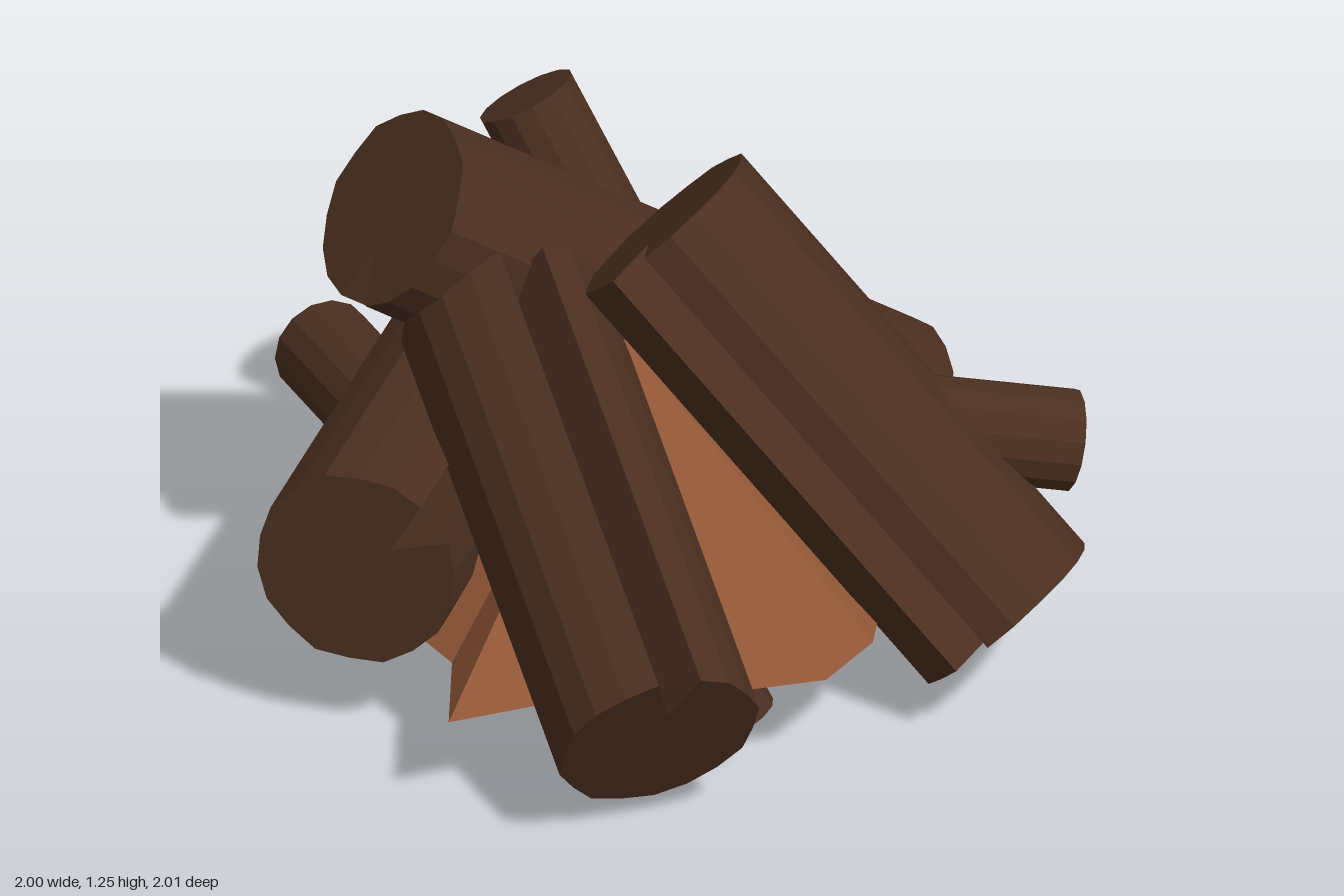
import * as THREE from 'three';

const bark = new THREE.MeshStandardMaterial({ color: 0x4b2f20, flatShading: true });
const ember = new THREE.MeshStandardMaterial({ color: 0x8f5635, flatShading: true });
const V = (a) => new THREE.Vector3(...a);

// Straight cylinder between two points
function stub(from, to, radius) {
  const a = V(from), b = V(to), dir = b.clone().sub(a);
  const mesh = new THREE.Mesh(new THREE.CylinderGeometry(radius, radius, dir.length(), 14), bark);
  mesh.position.copy(a).add(b).multiplyScalar(0.5);
  mesh.quaternion.setFromUnitVectors(new THREE.Vector3(0, 1, 0), dir.normalize());
  mesh.name = 'branchStub';
  return mesh;
}

// Log with a V groove along its whole length, facing the groove direction
function log(from, to, groove, radius, seed) {
  const a = V(from), dir = V(to).sub(a), length = dir.length();
  const z = dir.normalize();
  const x = new THREE.Vector3().crossVectors(V(groove), z).normalize();
  const y = new THREE.Vector3().crossVectors(z, x);
  const sides = 17, half = 0.22;
  const pts = [new THREE.Vector2(0, radius * 0.42)];
  for (let i = 0; i <= sides; i++) {
    const t = half + (i / sides) * (Math.PI * 2 - 2 * half);
    const r = radius * (1 + 0.02 * Math.sin(i * 2.7 + seed));
    pts.push(new THREE.Vector2(-Math.sin(t) * r, Math.cos(t) * r));
  }
  const geo = new THREE.ExtrudeGeometry(new THREE.Shape(pts), { depth: length, bevelEnabled: false });
  const mesh = new THREE.Mesh(geo, bark);
  mesh.quaternion.setFromRotationMatrix(new THREE.Matrix4().makeBasis(x, y, z));
  mesh.position.copy(a);
  mesh.name = 'log';
  return mesh;
}

// Ragged cone: jagged base outline joined to one apex, closed underneath
function emberCone() {
  const apex = [-0.08, 0.8, 0];
  const rim = [
    [0.57, 0.27], [0.51, 0.46], [0.31, 0.57], [0.1, 0.62], [-0.1, 0.74], [-0.27, 0.86],
    [-0.33, 0.6], [-0.52, 0.42], [-0.79, 0.2], [-0.66, -0.1], [-0.58, -0.34], [-0.4, -0.5],
    [-0.2, -0.66], [0.1, -0.6], [0.42, -0.55], [0.48, -0.38], [0.59, -0.29], [0.62, -0.18], [0.54, 0.05],
  ];
  const pos = [], y = 0.25;
  rim.forEach(([x, z], i) => {
    const [nx, nz] = rim[(i + 1) % rim.length];
    pos.push(...apex, nx, y, nz, x, y, z);
    pos.push(apex[0], y, apex[2], x, y, z, nx, y, nz);
  });
  const geo = new THREE.BufferGeometry();
  geo.setAttribute('position', new THREE.Float32BufferAttribute(pos, 3));
  // The rim runs from +x towards +z, so flip each triangle outward if needed
  const p = geo.attributes.position, c = new THREE.Vector3(-0.08, 0.4, 0);
  for (let i = 0; i < p.count; i += 3) {
    const [a, b, d] = [0, 1, 2].map((k) => new THREE.Vector3().fromBufferAttribute(p, i + k));
    const n = b.clone().sub(a).cross(d.clone().sub(a));
    if (n.dot(a.clone().add(b).add(d).divideScalar(3).sub(c)) < 0) {
      p.setXYZ(i + 1, d.x, d.y, d.z);
      p.setXYZ(i + 2, b.x, b.y, b.z);
    }
  }
  geo.computeVertexNormals();
  const mesh = new THREE.Mesh(geo, ember);
  mesh.name = 'emberCone';
  return mesh;
}

export function createModel() {
  const model = new THREE.Group();
  model.name = 'campfire';
  // Each log: upper end, lower end, groove direction, stub start and end
  const logs = [
    { name: 'lyingLog', a: [-0.525, 0.385, -0.64], b: [-0.565, 0.44, 0.56], g: [0.17, 0.13, 0],
      s: [-0.6, 0.4, -0.08], e: [-0.91, 0.395, -0.46] },
    { name: 'frontLog', a: [-0.38, 0.82, -0.03], b: [0.22, 0.27, 0.85], g: [0.07, 0.2, 0.08],
      s: [0.05, 0.5, 0.44], e: [0.28, 0.1, 0.46] },
    { name: 'leftLog', a: [0, 1.09, -0.04], b: [0.83, 0.245, 0.06], g: [-0.08, 0, 1],
      s: [0.52, 0.66, -0.02], e: [0.91, 0.56, -0.21] },
    { name: 'backLog', a: [-0.625, 1.06, 0], b: [0.315, 0.2, -0.8], g: [-0.06, -0.17, 0.12],
      s: [-0.18, 0.7, -0.4], e: [-0.43, 1.13, -0.45] },
  ];
  logs.forEach(({ name, a, b, g, s, e }, i) => {
    const group = new THREE.Group();
    group.name = name;
    group.add(log(a, b, g, 0.235, i * 1.3), stub(s, e, 0.118));
    model.add(group);
  });
  model.add(emberCone());
  return model;
}
